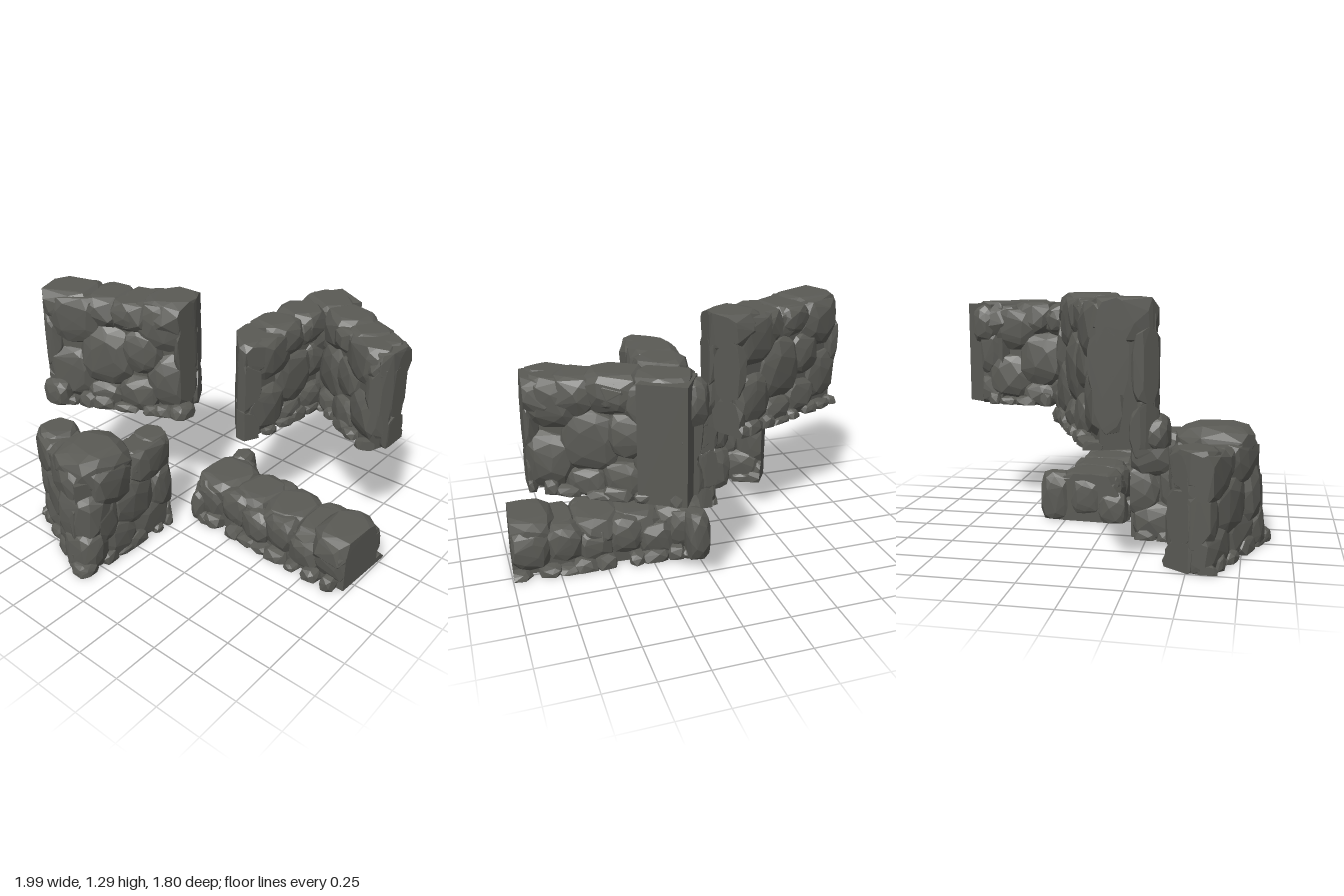
import * as THREE from 'three';
import { ConvexGeometry } from 'three/addons/geometries/ConvexGeometry.js';
import { mergeGeometries } from 'three/addons/utils/BufferGeometryUtils.js';

let seed = 7;
function rnd(lo = 0, hi = 1) {
  seed = (seed * 16807) % 2147483647;
  return lo + (hi - lo) * (seed / 2147483647);
}

// Boulder layouts of a wall face: [along, up, half length, half height] as fractions
const TALL = [
  [0.24, 0.78, 0.19, 0.25], [0.44, 0.46, 0.19, 0.3], [0.58, 0.86, 0.12, 0.15],
  [0.81, 0.79, 0.2, 0.24], [0.86, 0.3, 0.18, 0.25], [0.19, 0.27, 0.18, 0.26],
  [0.64, 0.15, 0.15, 0.18], [0.67, 0.54, 0.14, 0.22], [0.03, 0.55, 0.13, 0.28],
  [0.03, 0.13, 0.12, 0.18], [0.98, 0.58, 0.12, 0.24], [0.42, 0.1, 0.14, 0.15],
];
const NARROW = [
  [0.2, 0.78, 0.28, 0.25], [0.7, 0.8, 0.3, 0.23], [0.48, 0.48, 0.27, 0.28],
  [0.1, 0.42, 0.2, 0.25], [0.87, 0.45, 0.22, 0.27], [0.25, 0.15, 0.27, 0.22],
  [0.7, 0.16, 0.27, 0.22], [0.98, 0.1, 0.16, 0.16],
];
const LOW = [
  [0.09, 0.48, 0.13, 0.46], [0.27, 0.55, 0.11, 0.42], [0.43, 0.42, 0.11, 0.42],
  [0.59, 0.56, 0.11, 0.42], [0.75, 0.4, 0.11, 0.4], [0.91, 0.55, 0.12, 0.48],
];

// Push a point back behind each upright cutting plane [nx, nz, d]
function trim(p, cuts) {
  for (const [nx, nz, d] of cuts) {
    const over = p.x * nx + p.z * nz - d;
    if (over > 0) p.set(p.x - over * nx, p.y, p.z - over * nz);
  }
  return p;
}

// Chiselled boulder: hull of jittered points on a boxy ellipsoid, trimmed flat by a box and cuts
function stone(c, r, lo, hi, cuts = [], count = 54) {
  const pts = [];
  const turn = rnd(0, 6.28);
  const soft = (v) => Math.sign(v) * Math.pow(Math.abs(v), 0.74);
  for (let i = 0; i < count; i++) {
    const y = 1 - (2 * (i + 0.5)) / count;
    const ring = Math.sqrt(1 - y * y);
    const t = turn + i * 2.39996 + rnd(-0.25, 0.25);
    const k = rnd(0.9, 1);
    pts.push(trim(new THREE.Vector3(
      c[0] + r[0] * k * soft(ring * Math.cos(t)),
      c[1] + r[1] * k * soft(y),
      c[2] + r[2] * k * soft(ring * Math.sin(t))
    ).clamp(lo, hi), cuts));
  }
  return new ConvexGeometry(pts);
}

// Straight stretch of wall from a to b (x, z); ends and underside are cut flat
function wall(name, { a, b, hw, flare, H, layout, caps, cuts = [] }, material) {
  const group = new THREE.Group();
  group.name = name;
  const dx = b[0] - a[0], dz = b[1] - a[1], L = Math.hypot(dx, dz);
  const ux = dx / L, uz = dz / L;
  group.position.set(a[0], 0, a[1]);
  group.rotation.y = Math.atan2(-dz, dx);
  // Cutting planes turned into the wall's own frame
  const local = cuts.map(([nx, nz, d]) => {
    const n = Math.hypot(nx, nz);
    return [(nx * ux + nz * uz) / n, (nz * ux - nx * uz) / n, (d - nx * a[0] - nz * a[1]) / n];
  });
  const add = (part, geos) => {
    const mesh = new THREE.Mesh(mergeGeometries(geos), material);
    mesh.name = part;
    group.add(mesh);
  };
  const lo = new THREE.Vector3(0, 0, -1);
  const top = (h) => new THREE.Vector3(L, h, 1);

  // Solid middle
  const corners = [];
  for (const s of [0, L]) for (const y of [0, H - 0.07]) for (const n of [-1, 1]) {
    corners.push(trim(new THREE.Vector3(s, y, n * (hw - 0.045)), local));
  }
  add('core', [new ConvexGeometry(corners)]);

  // Boulders on both faces, the far face turned end for end
  const faces = [], base = [], capStones = [];
  for (const side of [-1, 1]) {
    for (const [u, v, ru, rv] of layout) {
      const s = (side > 0 ? u : 1 - u) * L;
      faces.push(stone([s, v * H, side * (hw - 0.09)],
        [ru * L, rv * H, rnd(0.082, 0.1)], lo, top(H - 0.02), local));
    }
    // Small rubble along the foot
    const n = Math.round(L / 0.12);
    for (let i = 0; i < n; i++) {
      const w = rnd(0.04, 0.09);
      base.push(stone([((i + rnd(0.2, 0.8)) / n) * L, rnd(0, 0.02), side * (hw - 0.03)],
        [w, rnd(0.03, 0.08), flare + 0.03], lo, top(H), local, 26));
    }
  }
  add('faceStones', faces);
  add('footRubble', base);

  // Flat-topped cap stones: [position, half length, height] along the wall
  for (const [u, half, h] of caps) {
    capStones.push(stone([u * L, h - 0.09, rnd(-0.01, 0.01)],
      [half * L, 0.12, hw * rnd(0.94, 1.02)], lo, top(h), local, 60));
  }
  add('capStones', capStones);
  return group;
}

export function createModel() {
  seed = 7;
  const rock = new THREE.MeshStandardMaterial({ color: 0x5a5a55 });
  rock.name = 'darkGreyStone';
  const model = new THREE.Group();
  model.name = 'stoneWallSet';

  const section = (name, y, ...parts) => {
    const g = new THREE.Group();
    g.name = name;
    g.position.y = y;
    g.add(...parts);
    model.add(g);
  };
  const named = (name, geometry) => {
    const mesh = new THREE.Mesh(geometry, rock);
    mesh.name = name;
    return mesh;
  };
  const loose = (name, c, r, hi) => named(name,
    stone(c, r, new THREE.Vector3(-2, 0, -2), new THREE.Vector3(2, hi, 2), [], 60));

  // Tall straight wall
  section('tallStraightWall', 0.63,
    wall('straightRun', {
      a: [-0.965, 0.271], b: [-0.145, -0.101], hw: 0.178, flare: 0.025, H: 0.66, layout: TALL,
      cuts: [[-0.97, 0.25, 0.985], [-0.7, 0.7, 0.88], [0, 1, 0.385], [0.84, -0.55, -0.084],
        [1, 0, -0.145]],
      caps: [[0.15, 0.25, 0.66], [0.42, 0.17, 0.645], [0.63, 0.15, 0.64], [0.86, 0.22, 0.66]],
    }, rock),
    loose('frontRubble', [-0.82, 0.05, 0.37], [0.1, 0.1, 0.07], 0.2),
    loose('endRubble', [-0.15, 0.02, 0.05], [0.06, 0.06, 0.08], 0.2));

  // Inner corner wall, open towards the front left
  section('innerCornerWall', 0.63,
    wall('frontArm', {
      a: [0.27, -0.78], b: [0.195, 0.045], hw: 0.145, flare: 0.015, H: 0.57, layout: TALL,
      cuts: [[-0.76, 0.65, -0.145], [0.91, 0.41, 0.285], [-1, 0, -0.06]],
      caps: [[0.1, 0.2, 0.57], [0.36, 0.17, 0.59], [0.6, 0.17, 0.58], [0.85, 0.2, 0.55]],
    }, rock),
    wall('sideArm', {
      a: [0.19, -0.77], b: [0.905, -0.37], hw: 0.14, flare: 0.015, H: 0.58, layout: TALL,
      cuts: [[1, 0, 0.905], [0.57, 0.82, 0.243]],
      caps: [[0.14, 0.24, 0.59], [0.43, 0.2, 0.59], [0.65, 0.16, 0.57], [0.87, 0.2, 0.55]],
    }, rock),
    // Smooth upright edge at the back of the corner
    named('cornerPost', new ConvexGeometry(
      [[0.25, -0.9], [0.45, -0.785], [0.3, -0.6], [0.15, -0.73]].flatMap(([x, z]) =>
        [0, 0.575].map((y) => new THREE.Vector3(x, y, z))))),
    loose('outerCornerStone', [0.18, 0.46, -0.77], [0.07, 0.12, 0.08], 0.57));

  // Outer corner wall, point towards the front
  section('outerCornerWall', 0,
    wall('leftArm', {
      a: [-0.755, 0.49], b: [-0.17, 0.745], hw: 0.13, flare: 0.015, H: 0.59, layout: NARROW,
      cuts: [[-1, 0, 0.748], [-0.83, -0.55, 0.339]],
      caps: [[0.17, 0.22, 0.59], [0.47, 0.2, 0.57]],
    }, rock),
    wall('backArm', {
      a: [-0.2, 0.165], b: [-0.215, 0.74], hw: 0.108, flare: 0.01, H: 0.6, layout: NARROW,
      cuts: [[0.41, -0.91, -0.232]],
      caps: [[0.14, 0.2, 0.59], [0.4, 0.18, 0.58]],
    }, rock),
    loose('cornerCapStone', [-0.31, 0.53, 0.6], [0.2, 0.135, 0.215], 0.645),
    loose('cornerFaceStone', [-0.26, 0.3, 0.7], [0.15, 0.2, 0.155], 0.6),
    loose('cornerFootStone', [-0.22, 0.1, 0.76], [0.12, 0.15, 0.11], 0.6),
    loose('cornerRubble', [-0.17, 0.02, 0.83], [0.07, 0.05, 0.07], 0.6),
    loose('innerFootStone', [-0.37, 0.12, 0.47], [0.11, 0.19, 0.11], 0.6),
    loose('innerFaceStone', [-0.37, 0.41, 0.48], [0.11, 0.18, 0.11], 0.56));

  // Low straight wall
  section('lowStraightWall', 0,
    wall('lowRun', {
      a: [-0.05, -0.125], b: [0.985, -0.075], hw: 0.2, flare: 0.035, H: 0.28, layout: LOW,
      caps: [[0.1, 0.17, 0.275], [0.34, 0.14, 0.265], [0.56, 0.15, 0.265], [0.75, 0.11, 0.26],
        [0.9, 0.15, 0.295]],
    }, rock),
    loose('endBoulder', [0.005, 0.13, -0.31], [0.075, 0.17, 0.1], 0.275),
    loose('endFaceStone', [-0.02, 0.14, -0.13], [0.05, 0.12, 0.1], 0.26),
    loose('endFootStone', [-0.02, 0.07, 0.02], [0.055, 0.12, 0.09], 0.26));

  return model;
}
